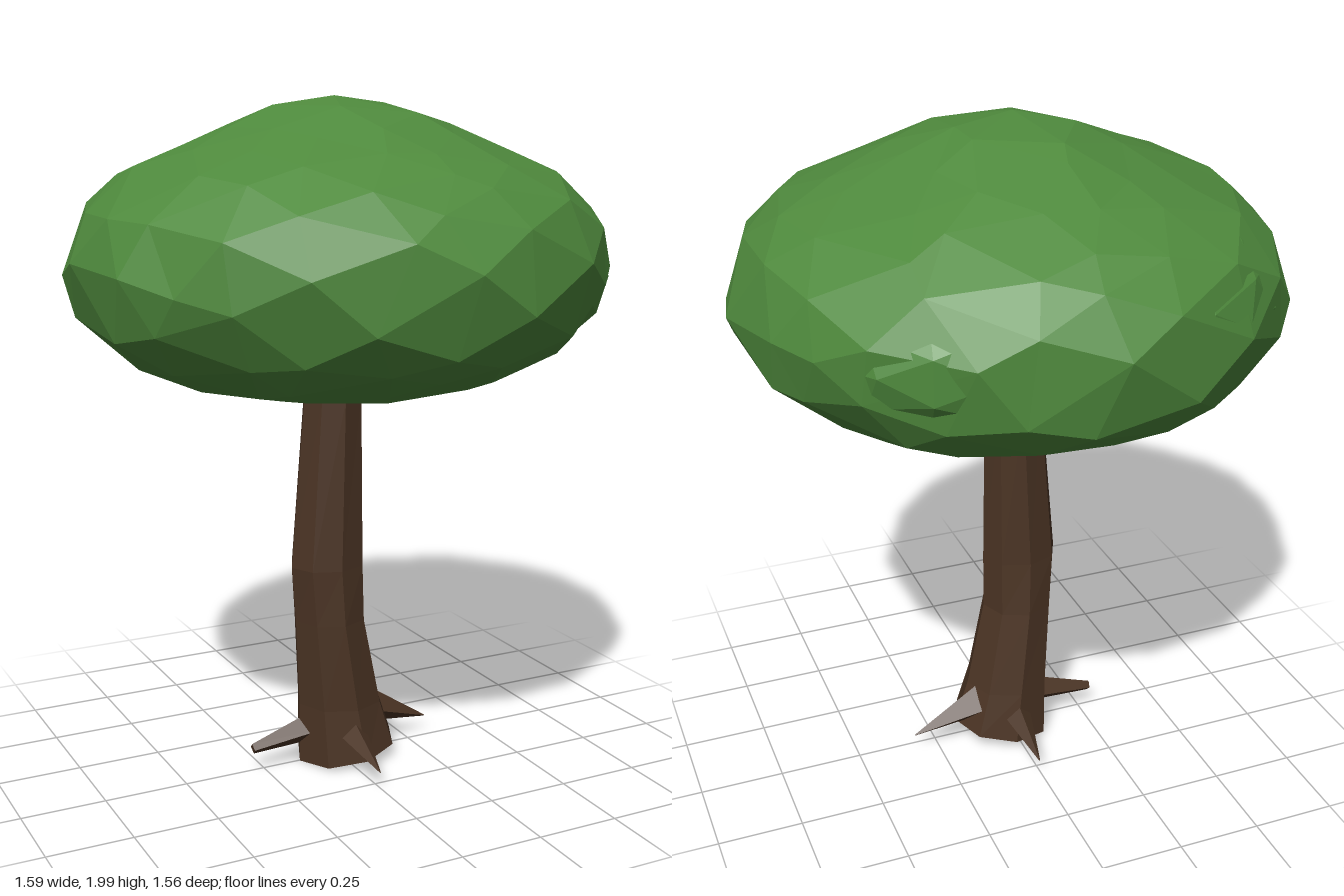
import * as THREE from 'three';

const bark = new THREE.MeshStandardMaterial({ color: 0x4b3424, flatShading: true });
const leaf = new THREE.MeshStandardMaterial({ color: 0x4f8a3d, flatShading: true });

// Smooth wave that roughens the leaves
const wave = (a, b, c) => Math.sin(a * 5.3 + 1.3) * Math.sin(b * 6.1 + 2.6) + Math.sin(c * 7.7 + a * 4.1 + 3.9) * 0.7;

// Half outline of the crown as [radius, height], from crown tip to belly
const outline = new THREE.CatmullRomCurve3([
  [0, 2], [0.14, 1.985], [0.39, 1.89], [0.63, 1.785], [0.735, 1.69], [0.785, 1.58],
  [0.785, 1.47], [0.745, 1.37], [0.63, 1.27], [0.5, 1.215], [0.28, 1.16], [0, 1.14],
].map(([r, y]) => new THREE.Vector3(r, y, 0)));

function leafMesh(name, geo) {
  geo.computeVertexNormals();
  const mesh = new THREE.Mesh(geo, leaf);
  mesh.name = name;
  return mesh;
}

// Faceted ball with uneven facets, wrapped onto the crown outline
function crown() {
  const geo = new THREE.IcosahedronGeometry(1, 3);
  const p = geo.attributes.position;
  const v = new THREE.Vector3();
  for (let i = 0; i < p.count; i++) {
    v.fromBufferAttribute(p, i);
    const { x, y, z } = v;
    v.x += 0.07 * wave(y * 2, z * 2, x * 2);
    v.y += 0.05 * wave(x * 2, y * 2, z * 2);
    v.z += 0.07 * wave(z * 2, x * 2, y * 2);
    v.normalize();
    const ring = Math.hypot(v.x, v.z) || 1;
    const o = outline.getPointAt(Math.acos(THREE.MathUtils.clamp(v.y, -1, 1)) / Math.PI);
    const k = 1 + 0.013 * wave(x, y, z);
    p.setXYZ(i, o.x * k * v.x / ring, 1.54 + (o.y - 1.54) * k, 0.985 * o.x * k * v.z / ring);
  }
  return leafMesh('crown', geo);
}

// Low, wide clump that barely breaks the crown, facing the given compass angle
function clump(name, angle, reach, y, width, height) {
  const geo = new THREE.IcosahedronGeometry(1, 1);
  geo.rotateY(angle * 3);
  geo.scale(width, height, 0.2);
  const mesh = leafMesh(name, geo);
  mesh.position.set(Math.sin(angle) * (reach - 0.2), y, Math.cos(angle) * (reach - 0.2));
  mesh.rotation.y = angle;
  return mesh;
}

// Bent eight-sided trunk with a slanted foot: rows of [y, x0, x1, z0, z1]
function trunk() {
  const rows = [
    [0.03, -0.13, 0.18, -0.15, 0.155],
    [0.19, -0.13, 0.135, -0.13, 0.135],
    [0.46, -0.145, 0.075, -0.1, 0.125],
    [0.63, -0.16, 0.073, -0.085, 0.12],
    [1.14, -0.115, 0.065, -0.07, 0.105],
    [1.4, -0.1, 0.06, -0.065, 0.095],
  ];
  const geo = new THREE.CylinderGeometry(1, 1, 1, 8, rows.length - 1);
  const p = geo.attributes.position;
  for (let i = 0; i < p.count; i++) {
    const r = Math.round((p.getY(i) + 0.5) * (rows.length - 1));
    const [y, x0, x1, z0, z1] = rows[r];
    const x = (x0 + x1) / 2 + p.getX(i) * (x1 - x0) / 2;
    const z = (z0 + z1) / 2 + p.getZ(i) * (z1 - z0) / 2;
    p.setXYZ(i, x, r === 0 ? y + 0.17 * (x - 0.025) : y, z);
  }
  geo.computeVertexNormals();
  const mesh = new THREE.Mesh(geo, bark);
  mesh.name = 'trunk';
  return mesh;
}

// Four-sided tapering root from inside the trunk to its tip
function root(name, from, to, radius, tipRadius) {
  const a = new THREE.Vector3(...from);
  const d = new THREE.Vector3(...to).sub(a);
  const geo = new THREE.CylinderGeometry(tipRadius, radius, d.length(), 4);
  const mesh = new THREE.Mesh(geo, bark);
  mesh.quaternion.setFromUnitVectors(new THREE.Vector3(0, 1, 0), d.clone().normalize());
  mesh.position.copy(a).addScaledVector(d, 0.5);
  mesh.name = name;
  return mesh;
}

export function createModel() {
  const tree = new THREE.Group();
  tree.name = 'tree';
  tree.add(trunk());

  const roots = new THREE.Group();
  roots.name = 'roots';
  roots.add(
    root('rootLeft', [0.06, 0.15, -0.03], [0.325, 0.055, -0.03], 0.07, 0.002),
    root('rootRight', [-0.06, 0.115, 0], [-0.285, 0.072, 0], 0.05, 0.016),
    root('rootFront', [0, 0.125, 0.06], [-0.01, 0.063, 0.3], 0.055, 0.002),
    root('rootBack', [0.01, 0.125, -0.06], [0.01, 0.063, -0.3], 0.055, 0.002),
  );
  tree.add(roots);

  const canopy = new THREE.Group();
  canopy.name = 'canopy';
  canopy.add(
    crown(),
    clump('clumpFrontRight', -1.0, 0.765, 1.54, 0.3, 0.2),
    clump('clumpBackRight', -2.5, 0.775, 1.56, 0.32, 0.22),
    clump('clumpBackLeft', 2.4, 0.785, 1.53, 0.32, 0.2),
    clump('clumpFrontLeft', 1.0, 0.775, 1.5, 0.3, 0.2),
  );
  tree.add(canopy);
  return tree;
}
